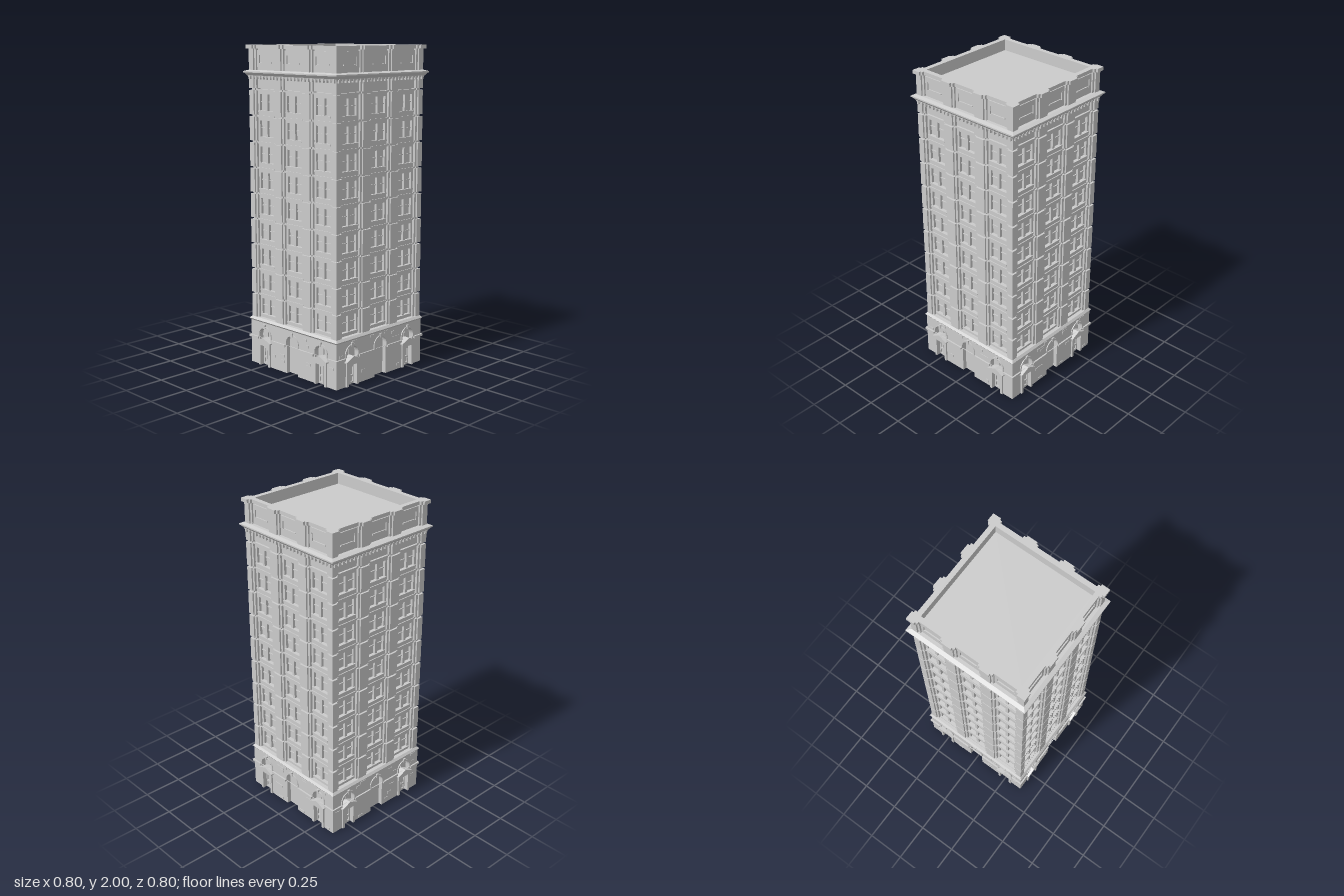
import * as THREE from 'three';

const stone = new THREE.MeshStandardMaterial({ color: 0xcccccc, flatShading: true });

function add(parent, name, geometry, x = 0, y = 0, z = 0) {
  const m = new THREE.Mesh(geometry, stone);
  m.name = name;
  m.position.set(x, y, z);
  parent.add(m);
  return m;
}
const box = (w, h, d) => new THREE.BoxGeometry(w, h, d);
const extrude = (shape, depth) =>
  new THREE.ExtrudeGeometry(shape, { depth, bevelEnabled: false, curveSegments: 10 });

// Square block with sloping sides, given by its half widths
function frustum(bottom, top, y0, y1) {
  const g = new THREE.CylinderGeometry(top * Math.SQRT2, bottom * Math.SQRT2, y1 - y0, 4);
  return g.rotateY(Math.PI / 4).translate(0, (y0 + y1) / 2, 0);
}

function rect(w, h, x = 0, y = 0, Type = THREE.Path) {
  const p = new Type();
  p.moveTo(x - w / 2, y);
  p.lineTo(x + w / 2, y);
  p.lineTo(x + w / 2, y + h);
  p.lineTo(x - w / 2, y + h);
  p.closePath();
  return p;
}

// Round-headed outline standing on the ground
function arch(x, r, spring, y0 = 0, Type = THREE.Path) {
  const p = new Type();
  p.moveTo(x - r, y0);
  p.lineTo(x + r, y0);
  p.lineTo(x + r, spring);
  p.absarc(x, spring, r, 0, Math.PI, false);
  p.closePath();
  return p;
}

// Plan with stepped piers at the corners and between the bays
function plan(main, step, bay, inner) {
  const half = [[main, main], [0.335, main], [0.335, step], [0.32, step], [0.32, bay], [0.17, bay],
    [0.17, step], [0.155, step], [0.155, main], [0.09, main], [0.09, step], [0.075, step], [0.075, bay]];
  const side = [...half, ...half.slice(1).reverse().map(([x, y]) => [-x, y])];
  const pts = [];
  for (let k = 0; k < 4; k++) {
    for (const [x, y] of side) {
      pts.push(new THREE.Vector2(x, y).rotateAround(new THREE.Vector2(), k * Math.PI / 2));
    }
  }
  const s = new THREE.Shape(pts);
  if (inner) s.holes.push(rect(inner * 2, inner * 2, 0, -inner));
  return s;
}
const planBlock = (shape, y0, y1) =>
  extrude(shape, y1 - y0).rotateX(-Math.PI / 2).translate(0, y0, 0);

const BAYS = [-0.245, 0, 0.245];
const DOORS = [-0.25, 0.25];
const FLOORS = 9, FLOOR_H = 0.16, TOWER_Y = 0.295;

// Hollow ground storey: one wall with arches, doorways and rough stones
function baseSide(seed) {
  const g = new THREE.Group();
  g.name = 'baseSide';
  const wall = new THREE.Shape();
  // The outline runs around the ground-level openings
  wall.moveTo(-0.38, 0);
  for (const [x, r, spring] of [[-0.25, 0.05, 0.195], [0, 0.05, 0.2], [0.25, 0.05, 0.195]]) {
    wall.lineTo(x - r, 0);
    wall.lineTo(x - r, spring);
    wall.absarc(x, spring, r, Math.PI, 0, true);
    wall.lineTo(x + r, 0);
  }
  wall.lineTo(0.34, 0);
  wall.lineTo(0.34, 0.285);
  wall.lineTo(-0.38, 0.285);
  wall.closePath();
  add(g, 'baseWall', extrude(wall, 0.04), 0, 0, 0.34);
  add(g, 'archPanel', extrude(arch(0, 0.052, 0.2, 0, THREE.Shape), 0.008), 0, 0, 0.345);

  // Arch mouldings
  for (const x of [-0.25, 0, 0.25]) {
    const ring = arch(0, 0.06, 0.196, 0.18, THREE.Shape);
    ring.holes.push(arch(0, 0.05, 0.196, 0.1801));
    add(g, 'archMoulding', extrude(ring, 0.006), x, 0, 0.38);
    add(g, 'keystone', box(0.016, 0.026, 0.012), x, 0.255, 0.384);
  }
  // Impost bands between the arches
  for (const s of [-1, 1]) {
    add(g, 'impostBand', box(0.13, 0.014, 0.012), s * 0.125, 0.173, 0.384);
    add(g, 'impostBand', box(0.08, 0.014, 0.012), s * 0.35, 0.173, 0.384);
  }

  // Doors with jambs, pediment and fanlight
  const gable = new THREE.Shape();
  gable.moveTo(-0.062, 0.15);
  gable.lineTo(0.062, 0.15);
  gable.lineTo(0.062, 0.158);
  gable.lineTo(0, 0.186);
  gable.lineTo(-0.062, 0.158);
  for (const x of DOORS) {
    add(g, 'fanlight', extrude(arch(0, 0.051, 0.195, 0.13, THREE.Shape), 0.008), x, 0, 0.345);
    add(g, 'fanlightBar', box(0.006, 0.09, 0.008), x, 0.2, 0.356);
    add(g, 'pediment', extrude(gable, 0.05), x, 0, 0.35);
    add(g, 'doorLintel', box(0.1, 0.02, 0.035), x, 0.14, 0.3725);
    add(g, 'doorBack', box(0.08, 0.13, 0.008), x, 0.065, 0.349);
    for (const s of [-1, 1]) {
      add(g, 'doorJamb', box(0.016, 0.15, 0.035), x + s * 0.044, 0.075, 0.3725);
      const leaf = rect(0.035, 0.118, 0, 0, THREE.Shape);
      leaf.holes.push(rect(0.02, 0.05, 0, 0.055), rect(0.02, 0.03, 0, 0.014));
      add(g, 'doorLeaf', extrude(leaf, 0.008), x + s * 0.018, 0, 0.353);
    }
  }

  // Slightly raised stones scattered over the solid wall
  const rand = () => (seed = (seed * 16807) % 2147483647) / 2147483647;
  for (let i = 0; i < 45; i++) {
    const w = 0.025 + 0.02 * rand();
    const x = -0.35 + 0.7 * rand();
    const y = 0.014 + 0.018 * Math.floor(rand() * 15);
    const clear = [-0.25, 0, 0.25].every(c => Math.abs(x - c) > 0.066 + w / 2 || y > 0.264);
    if (clear && Math.abs(y - 0.173) > 0.015) add(g, 'raisedStone', box(w, 0.016, 0.006), x, y, 0.38);
  }
  return g;
}

// Paired sash windows in one bay of one floor
const frame = rect(0.15, 0.15, 0, 0, THREE.Shape);
for (const s of [-1, 1]) frame.holes.push(rect(0.05, 0.1, s * 0.034, 0.03));
const frameGeo = extrude(frame, 0.018);
const railGeo = box(0.12, 0.006, 0.008);
const sillGeo = box(0.136, 0.01, 0.02);
const ledgeGeo = box(0.15, 0.012, 0.024);
function windowBay(x, y) {
  const g = new THREE.Group();
  g.name = 'windowBay';
  g.position.set(x, y, 0);
  add(g, 'windowFrame', frameGeo, 0, 0, 0.333);
  add(g, 'sashRail', railGeo, 0, 0.085, 0.338);
  add(g, 'windowSill', sillGeo, 0, 0.026, 0.349);
  add(g, 'floorLedge', ledgeGeo, 0, 0.154, 0.345);
  return g;
}

export function createModel() {
  const model = new THREE.Group();
  model.name = 'tower';

  // Ledge above the ground storey
  add(model, 'baseLedge', frustum(0.38, 0.388, 0.278, 0.288));
  add(model, 'baseLedgeTop', frustum(0.388, 0.376, 0.288, 0.302));

  // Shaft: one stepped block per floor with narrow joints between
  const top = TOWER_Y + FLOORS * FLOOR_H;
  add(model, 'towerCore', planBlock(plan(0.362, 0.355, 0.333), TOWER_Y, 1.82));
  const floorBlock = planBlock(plan(0.375, 0.365, 0.335), 0.005, 0.153);
  for (let f = 0; f < FLOORS; f++) add(model, 'floorPiers', floorBlock, 0, TOWER_Y + f * FLOOR_H, 0);
  add(model, 'frieze', planBlock(plan(0.375, 0.365, 0.352), top + 0.005, 1.82));

  // Main cornice
  add(model, 'corniceBed', frustum(0.378, 0.382, 1.805, 1.818));
  add(model, 'corniceSlope', frustum(0.384, 0.397, 1.818, 1.834));
  add(model, 'corniceEdge', frustum(0.4, 0.4, 1.834, 1.842));
  add(model, 'corniceTop', frustum(0.4, 0.376, 1.842, 1.85));

  // Parapet and sunken roof
  add(model, 'parapet', planBlock(plan(0.375, 0.365, 0.348, 0.332), 1.84, 1.98));
  add(model, 'parapetCap', planBlock(plan(0.387, 0.375, 0.361, 0.33), 1.978, 2));
  add(model, 'roof', box(0.67, 0.02, 0.67), 0, 1.92, 0);

  const panel = rect(0.15, 0.12, 0, 0, THREE.Shape);
  panel.holes.push(rect(0.115, 0.05, 0, 0.04));
  const panelGeo = extrude(panel, 0.008);
  const dentil = box(0.014, 0.02, 0.03);

  for (let k = 0; k < 4; k++) {
    const side = new THREE.Group();
    side.name = 'facade';
    side.rotation.y = k * Math.PI / 2;
    model.add(side);
    side.add(baseSide(71 + k * 1301));
    for (const x of BAYS) {
      for (let f = 0; f < FLOORS; f++) side.add(windowBay(x, TOWER_Y + f * FLOOR_H));
      add(side, 'parapetPanel', panelGeo, x, 1.85, 0.347);
      add(side, 'parapetBar', box(0.1, 0.012, 0.008), x, 1.89, 0.351);
    }
    for (let i = -12; i <= 12; i++) add(side, 'dentil', dentil, i * 0.03, 1.805, 0.37);
  }
  return model;
}
